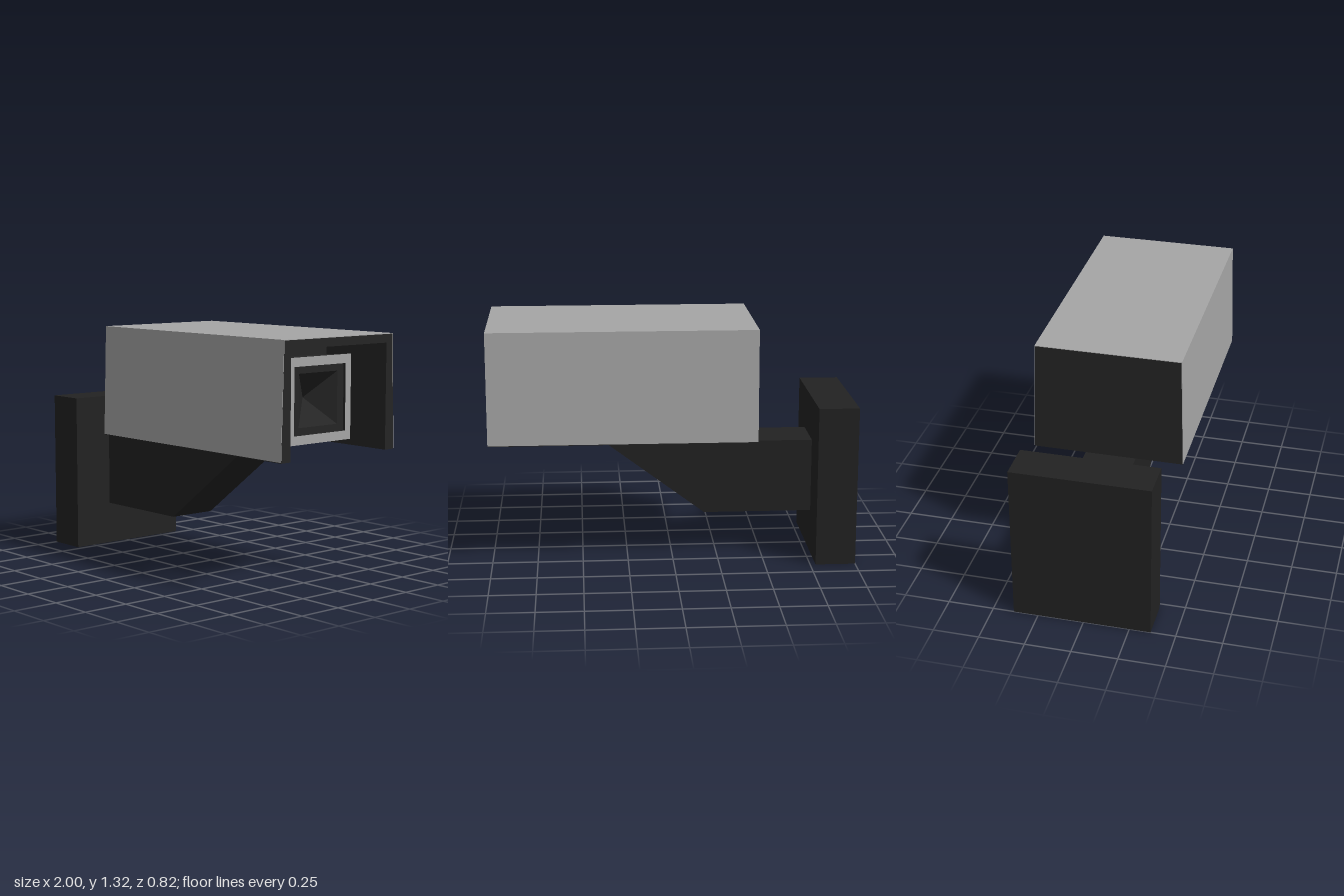
import * as THREE from 'three';

const grey = new THREE.MeshStandardMaterial({ color: 0xa6a6a6 });
grey.name = 'light grey casing';
const dark = new THREE.MeshStandardMaterial({ color: 0x252525 });
dark.name = 'charcoal body';
const mountDark = new THREE.MeshStandardMaterial({ color: 0x222222 });
mountDark.name = 'charcoal mount';

function named(geometry, material, name) {
  const mesh = new THREE.Mesh(geometry, material);
  mesh.name = name;
  return mesh;
}

function shapeOf(points) {
  return new THREE.Shape(points.map(([a, b]) => new THREE.Vector2(a, b)));
}

// Extrudes a [z, y] outline along x, from x0 to x1
function extrudeX(points, x0, x1) {
  const g = new THREE.ExtrudeGeometry(shapeOf(points.map(([z, y]) => [-z, y])), { depth: x1 - x0, bevelEnabled: false });
  return g.rotateY(Math.PI / 2).translate(x0, 0, 0);
}

// Rectangular section at x: half width in z, half height in y about the lens axis
const AXIS_Y = 0.99;
function section(x, hz, hy) {
  return [[hz, -hy], [-hz, -hy], [-hz, hy], [hz, hy]].map(([z, y]) => [x, AXIS_Y + y, z]);
}

// Flat-shaded quads joining successive sections
function loft(sections) {
  const pos = [];
  for (let s = 0; s < sections.length - 1; s++) {
    const a = sections[s], b = sections[s + 1];
    for (let i = 0; i < 4; i++) {
      const j = (i + 1) % 4;
      pos.push(...a[i], ...a[j], ...b[j], ...a[i], ...b[j], ...b[i]);
    }
  }
  const g = new THREE.BufferGeometry();
  g.setAttribute('position', new THREE.Float32BufferAttribute(pos, 3));
  g.computeVertexNormals();
  return g;
}

export function createModel() {
  const model = new THREE.Group();
  model.name = 'securityCamera';

  // Wall mount
  const plate = named(new THREE.BoxGeometry(0.22, 0.885, 0.75), mountDark, 'wallPlate');
  plate.position.set(-0.89, 0.4425, -0.01);
  const armShape = shapeOf([[-0.78, 0.24], [-0.18, 0.24], [0.365, 0.65], [0.365, 0.712],
    [-0.045, 0.712], [-0.045, 0.65], [-0.78, 0.65]]);
  const arm = named(new THREE.ExtrudeGeometry(armShape, { depth: 0.28, bevelEnabled: false })
    .translate(0, 0, -0.15), mountDark, 'bracketArm');
  model.add(plate, arm);

  // Housing: solid rear, then a hood open at the front and below
  const X0 = -0.45, XR = 0.56, X1 = 1, Y0 = 0.71, Y1 = 1.32, B = 0.408, T = 0.39;
  model.add(named(extrudeX([[B, Y0], [T, Y1], [-T, Y1], [-B, Y0]], X0, XR), dark, 'housingBody'));
  model.add(named(extrudeX([[B, Y0], [T, Y1], [-T, Y1], [-B, Y0],
    [-0.345, Y0], [-0.345, 1.275], [0.345, 1.275], [0.345, Y0]], XR, X1), dark, 'hood'));

  // Thin light casing panels on the top and both sides
  const e = 0.003;
  model.add(named(extrudeX([[T, Y1], [T, Y1 + e], [-T, Y1 + e], [-T, Y1]], X0, X1), grey, 'topPanel'));
  for (const s of [1, -1]) {
    const outline = [[s * B, Y0 + 0.004], [s * (B + e), Y0 + 0.004], [s * (T + e), Y1 + e], [s * T, Y1 + e]];
    model.add(named(extrudeX(outline, X0, X1), grey, s > 0 ? 'leftPanel' : 'rightPanel'));
  }

  // Camera head inside the hood, with a light frame and a pyramid lens pit
  const XF = 0.86, XI = 0.845;
  const outerBack = section(XR, 0.255, 0.2);
  const outerFront = section(XF, 0.226, 0.226);
  const frameInner = section(XF, 0.186, 0.178);
  const bezelOuter = section(XI, 0.186, 0.178);
  const bezelInner = section(XI, 0.14, 0.14);
  const apex = section(0.73, 0.0005, 0.0005);
  const head = new THREE.Group();
  head.name = 'cameraHead';
  head.add(
    named(loft([outerBack, outerFront]), dark, 'headSides'),
    named(loft([outerFront, frameInner]), grey, 'lensFrame'),
    named(loft([frameInner, bezelOuter, bezelInner]), dark, 'lensBezel'),
    named(loft([bezelInner, apex]), dark, 'lensPit'),
  );
  head.traverse((o) => { if (o.isMesh) o.material.side = THREE.DoubleSide; });
  model.add(head);

  return model;
}
